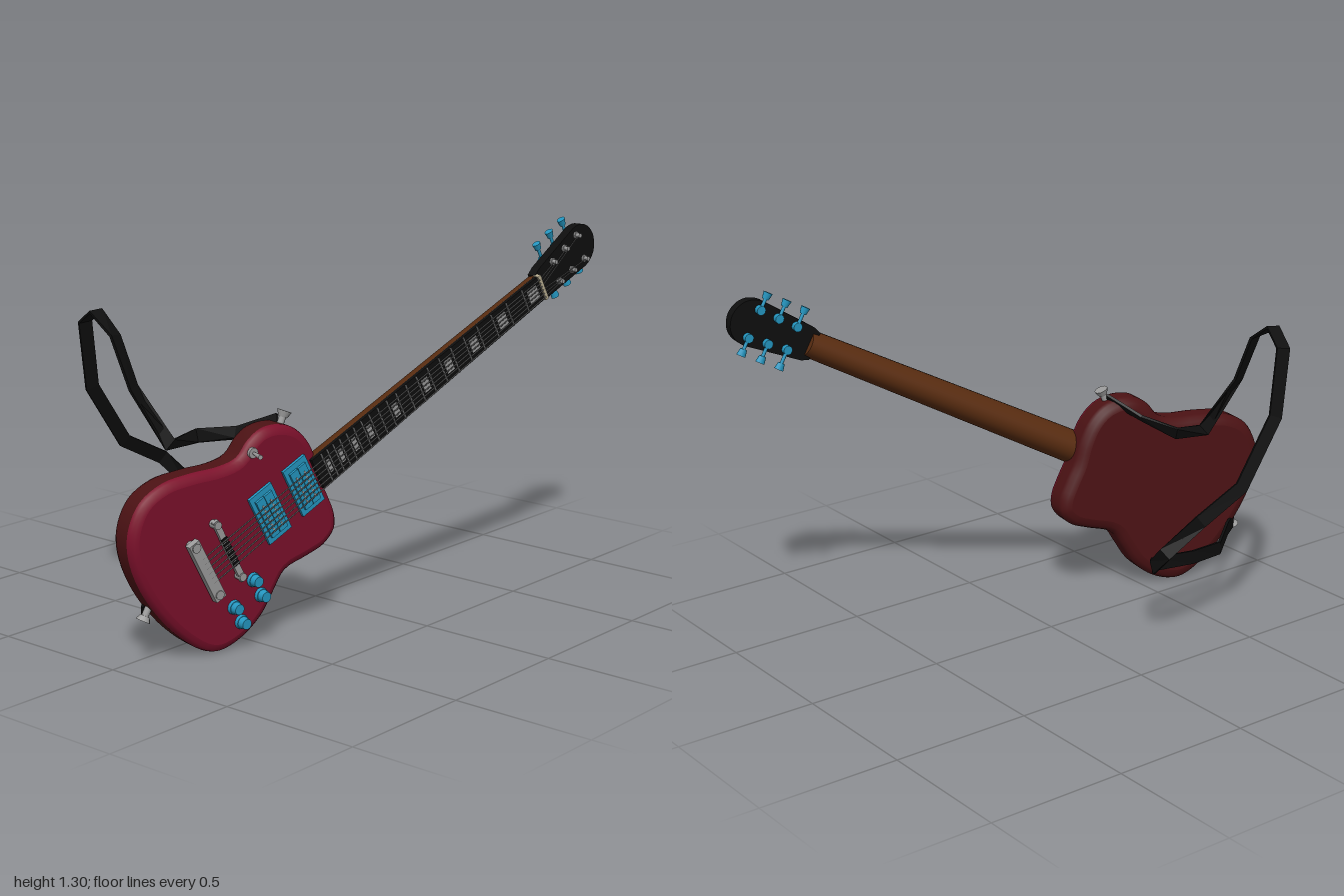
import * as THREE from 'three';

const mat = (name, color, side = THREE.FrontSide) => {
  const m = new THREE.MeshStandardMaterial({ color, side });
  m.name = name;
  return m;
};
const V = (x, y, z) => new THREE.Vector3(x, y, z);

export function createModel() {
  const crimson = mat('crimson top', 0x7c102b), mahogany = mat('dark red sides', 0x4c1214);
  const brown = mat('neck brown', 0x5a2d11), black = mat('black', 0x0e0e0e);
  const blue = mat('blue hardware', 0x2496c0), grey = mat('grey metal', 0x9c9c9c);
  const wire = mat('string grey', 0x6c6c6c), cream = mat('cream', 0xb8ad90);

  const model = new THREE.Group();
  model.name = 'guitarWithStrap';

  // Guitar frame: x along the neck, z out of the front face
  const A = 0.2, B = 0.035;
  const onFace = (x, y) => V(x, y, 0.284 + A * x + B * y);
  const origin = onFace(-0.265, 0.567);
  const u = onFace(0.69, 1.085).sub(origin).normalize();
  const n = V(-A, -B, 1).normalize();
  const v = n.clone().cross(u);
  const local = (x, y) => {
    const p = onFace(x, y).sub(origin);
    return new THREE.Vector2(p.dot(u), p.dot(v));
  };
  const guitar = new THREE.Group();
  guitar.name = 'guitar';
  guitar.quaternion.setFromRotationMatrix(new THREE.Matrix4().makeBasis(u, v, n));
  guitar.position.copy(origin);
  model.add(guitar);

  const add = (parent, name, geo, m) => {
    const mesh = new THREE.Mesh(geo, m);
    mesh.name = name;
    parent.add(mesh);
    return mesh;
  };
  const box = (parent, name, m, x, y, z, sx, sy, sz) =>
    add(parent, name, new THREE.BoxGeometry(sx, sy, sz), m).position.set(x, y, z);
  const rod = (parent, name, m, a, b, ra, rb = ra, sides = 12) => {
    const d = b.clone().sub(a);
    const mesh = add(parent, name, new THREE.CylinderGeometry(rb, ra, d.length(), sides), m);
    mesh.position.copy(a).addScaledVector(d, 0.5);
    mesh.quaternion.setFromUnitVectors(V(0, 1, 0), d.normalize());
    return mesh;
  };

  // Body outline, clockwise from the tail
  const outline = [
    [-1, .41], [-.995, .49], [-.955, .567], [-.874, .615], [-.767, .631], [-.66, .636], [-.59, .655],
    [-.548, .704], [-.5, .736], [-.436, .743], [-.366, .722], [-.313, .674], [-.275, .604],
    [-.249, .524], [-.217, .46], [-.19, .396], [-.19, .342], [-.233, .294], [-.302, .267],
    [-.393, .235], [-.436, .171], [-.484, .096], [-.564, .032], [-.65, .005], [-.714, .021],
    [-.82, .102], [-.912, .21], [-.97, .31],
  ].map(([x, y]) => { const p = local(x, y); return V(p.x, p.y, 0); });
  const curve = new THREE.CatmullRomCurve3(outline, true);
  const N = 112;
  const ring = (inset, z) => Array.from({ length: N }, (_, i) => {
    const p = curve.getPoint(i / N), t = curve.getTangent(i / N);
    return V(p.x + t.y * inset, p.y - t.x * inset, z);
  });
  const loft = (rings) => {
    const pos = [], idx = [], c = rings[0].length;
    rings.forEach((r) => r.forEach((p) => pos.push(p.x, p.y, p.z)));
    for (let i = 0; i < rings.length - 1; i++) {
      for (let j = 0; j < c; j++) {
        const a = i * c + j, b = i * c + (j + 1) % c;
        idx.push(a, b, a + c, b, b + c, a + c);
      }
    }
    const g = new THREE.BufferGeometry();
    g.setAttribute('position', new THREE.Float32BufferAttribute(pos, 3));
    g.setIndex(idx);
    g.computeVertexNormals();
    return g;
  };
  const cap = (inset, sy) =>
    new THREE.ShapeGeometry(new THREE.Shape(ring(inset, 0).map((p) => new THREE.Vector2(p.x, p.y * sy))));
  add(guitar, 'bodyTop', cap(0.03, 1), crimson);
  add(guitar, 'bodyTopEdge', loft([ring(.03, 0), ring(.014, -.004), ring(.004, -.014), ring(0, -.028)]), crimson);
  add(guitar, 'bodySide', loft([ring(0, -.028), ring(0, -.085), ring(.006, -.1), ring(.02, -.113), ring(.04, -.118)]), mahogany);
  add(guitar, 'bodyBack', cap(0.04, -1).rotateX(Math.PI), mahogany).position.z = -0.118;

  // Neck with a rounded back, and fretboard
  const L = 1.09;
  const half = (x) => 0.06 - 0.013 * x / L;
  const neck = new THREE.CylinderGeometry(half(L), half(0), L + 0.05, 20, 1, false, Math.PI / 2, Math.PI);
  neck.rotateZ(-Math.PI / 2).scale(1, 1, 1.25);
  add(guitar, 'neck', neck, brown).position.set(L / 2 - 0.005, 0, 0);
  const plank = (pts, depth) => new THREE.ExtrudeGeometry(
    new THREE.Shape(pts.map((p) => new THREE.Vector2(...p))), { depth, bevelEnabled: false });
  add(guitar, 'fretboard', plank([[-.025, -.06], [L, -.047], [L, .047], [-.025, .06]], 0.014), black);
  box(guitar, 'nut', cream, L + 0.004, 0, 0.008, 0.014, 0.1, 0.026);

  // Frets, with inlays between some of them
  const scale = L + 0.44;
  const fretX = (i) => L - scale * (1 - Math.pow(2, -i / 12));
  for (let i = 1; i <= 21; i++) {
    const x = fretX(i);
    box(guitar, 'fret', wire, x, 0, 0.015, 0.005, half(x) * 1.96, 0.004);
    if ([1, 3, 5, 7, 9, 12, 15, 17, 19, 21].includes(i)) {
      const w = (fretX(i - 1) - x) * 0.55;
      box(guitar, 'inlay', grey, (x + fretX(i - 1)) / 2, 0, 0.0145, w, 0.05, 0.003);
    }
  }

  // Pickups: ring, two coils and pole screws
  for (const x of [-0.088, -0.243]) {
    box(guitar, 'pickupRing', blue, x, 0, 0.005, 0.1, 0.19, 0.012);
    for (const s of [-1, 1]) {
      box(guitar, 'pickupCoil', blue, x + s * 0.018, 0, 0.012, 0.034, 0.15, 0.016);
      for (let i = 0; i < 6; i++) {
        const y = (i - 2.5) * 0.019;
        rod(guitar, 'poleScrew', grey, V(x + s * .018, y, .018), V(x + s * .018, y, .0215), .004, .004, 8);
      }
    }
  }

  // Bridge and tailpiece
  box(guitar, 'bridge', grey, -0.44, 0, 0.02, 0.022, 0.25, 0.014);
  box(guitar, 'tailpiece', grey, -0.545, 0, 0.024, 0.042, 0.235, 0.024);
  for (const s of [-1, 1]) {
    rod(guitar, 'bridgePost', grey, V(-.44, s * .11, 0), V(-.44, s * .11, .032), .014);
    rod(guitar, 'tailpiecePost', grey, V(-.545, s * .1, 0), V(-.545, s * .1, .04), .016);
  }

  // Headstock, tilted back
  const head = new THREE.Group();
  head.name = 'headstock';
  head.position.set(L, 0, 0.004);
  head.rotation.y = 0.13;
  guitar.add(head);
  const hs = new THREE.Shape();
  hs.moveTo(0, -.05);
  hs.lineTo(.03, -.06);
  hs.lineTo(.25, -.08);
  hs.bezierCurveTo(.3, -.08, .335, -.05, .338, 0);
  hs.bezierCurveTo(.335, .05, .3, .08, .25, .08);
  hs.lineTo(.03, .06);
  hs.lineTo(0, .05);
  const plate = new THREE.ExtrudeGeometry(hs, { depth: 0.034, bevelEnabled: false, curveSegments: 10 });
  add(head, 'headPlate', plate, black).position.z = -0.034;

  // Strings, posts and tuning pegs
  for (let i = 0; i < 6; i++) {
    const t = i - 2.5, s = Math.sign(t), k = t < 0 ? i : 5 - i;
    const x = 0.1 + k * 0.077, post = s * (0.042 + k * 0.004);
    rod(guitar, 'string', wire, V(-.545, t * .02, .034), V(-.44, t * .02, .034), .0024, .0024, 5);
    rod(guitar, 'string', wire, V(-.44, t * .02, .034), V(L, t * .0145, .022), .0024, .0024, 5);
    rod(head, 'stringEnd', wire, V(.004, t * .0145, .016), V(x, post, .012), .002, .002, 5);
    box(guitar, 'saddle', black, -0.44, t * 0.02, 0.028, 0.024, 0.014, 0.008);
    rod(head, 'tuningPost', grey, V(x, post, -.03), V(x, post, .022), .008);
    rod(head, 'tunerWasher', grey, V(x, post, 0), V(x, post, .006), .013);
    rod(head, 'tunerHousing', blue, V(x, post, -.052), V(x, post, -.034), .016);
    rod(head, 'tunerStem', blue, V(x, post, -.044), V(x, s * .098, -.044), .006);
    const button = rod(head, 'tunerButton', blue, V(x, s * .09, -.044), V(x, s * .114, -.044), .012, .017);
    button.scale.z = 0.8;
  }

  // Control knobs, pickup switch and strap buttons
  for (const [x, y] of [[-.532, .235], [-.5, .176], [-.607, .155], [-.577, .098]]) {
    const p = local(x, y);
    rod(guitar, 'knobBase', blue, V(p.x, p.y, 0), V(p.x, p.y, .012), .025, .023, 16);
    rod(guitar, 'knob', blue, V(p.x, p.y, .012), V(p.x, p.y, .034), .021, .018, 16);
  }
  const sw = local(-0.545, 0.67);
  rod(guitar, 'switchPlate', grey, V(sw.x, sw.y, -.004), V(sw.x, sw.y, .008), .018);
  rod(guitar, 'switchLever', grey, V(sw.x, sw.y, .008), V(sw.x - .01, sw.y + .006, .06), .005, .008);
  for (const [x0, y0, x1, y1] of [[-.4, .72, -.382, .765], [-.9, .2, -.918, .165]]) {
    const a = local(x0, y0), b = local(x1, y1);
    const p = V(a.x, a.y, -.055), q = V(b.x, b.y, -.055);
    rod(guitar, 'strapButtonStem', grey, p, q, .012);
    rod(guitar, 'strapButton', grey, p.clone().lerp(q, .75), q.clone().lerp(p, -.2), .016, .025);
  }

  // Strap: centre points, each with the direction of its width
  const strap = [
    [-.385, .745, .165, .4, .5, .3], [-.44, .69, .03, .7, .7, 0], [-.48, .665, -.11, .5, .85, 0],
    [-.6, .655, -.12, .4, .7, .3], [-.685, .85, -.2, 1, 0, -.2], [-.705, 1.02, -.26, 1, 0, -.2],
    [-.68, 1.085, -.375, 1, .1, 0], [-.65, 1.035, -.46, 1, 0, .3], [-.61, .8, -.475, .9, .2, .3],
    [-.45, .58, -.487, .5, .7, .3], [-.28, .49, -.472, .4, .8, .3], [-.185, .37, -.4, .1, .9, .4],
    [-.185, .3, -.335, 0, 1, .3], [-.28, .25, -.225, 0, 1, .2], [-.5, .21, -.19, 0, 1, .1],
    [-.65, .2, -.165, 0, 1, 0], [-.8, .2, -.04, 0, 1, 0], [-.905, .18, .045, 0, 1, 0],
  ];
  const centres = strap.map((p) => V(p[0], p[1], p[2]));
  const sections = centres.map((c, i) => {
    const t = centres[Math.min(i + 1, 17)].clone().sub(centres[Math.max(i - 1, 0)]).normalize();
    const w = V(...strap[i].slice(3));
    w.addScaledVector(t, -w.dot(t)).setLength(0.024);
    const d = t.cross(w).setLength(0.005);
    return [[1, 1], [1, -1], [-1, -1], [-1, 1]].map(([a, b]) =>
      c.clone().addScaledVector(w, a).addScaledVector(d, b));
  });
  const strapGeo = loft(sections).toNonIndexed();
  strapGeo.computeVertexNormals();
  add(model, 'strap', strapGeo, mat('strap black', 0x0d0d0d, THREE.DoubleSide));

  return model;
}
